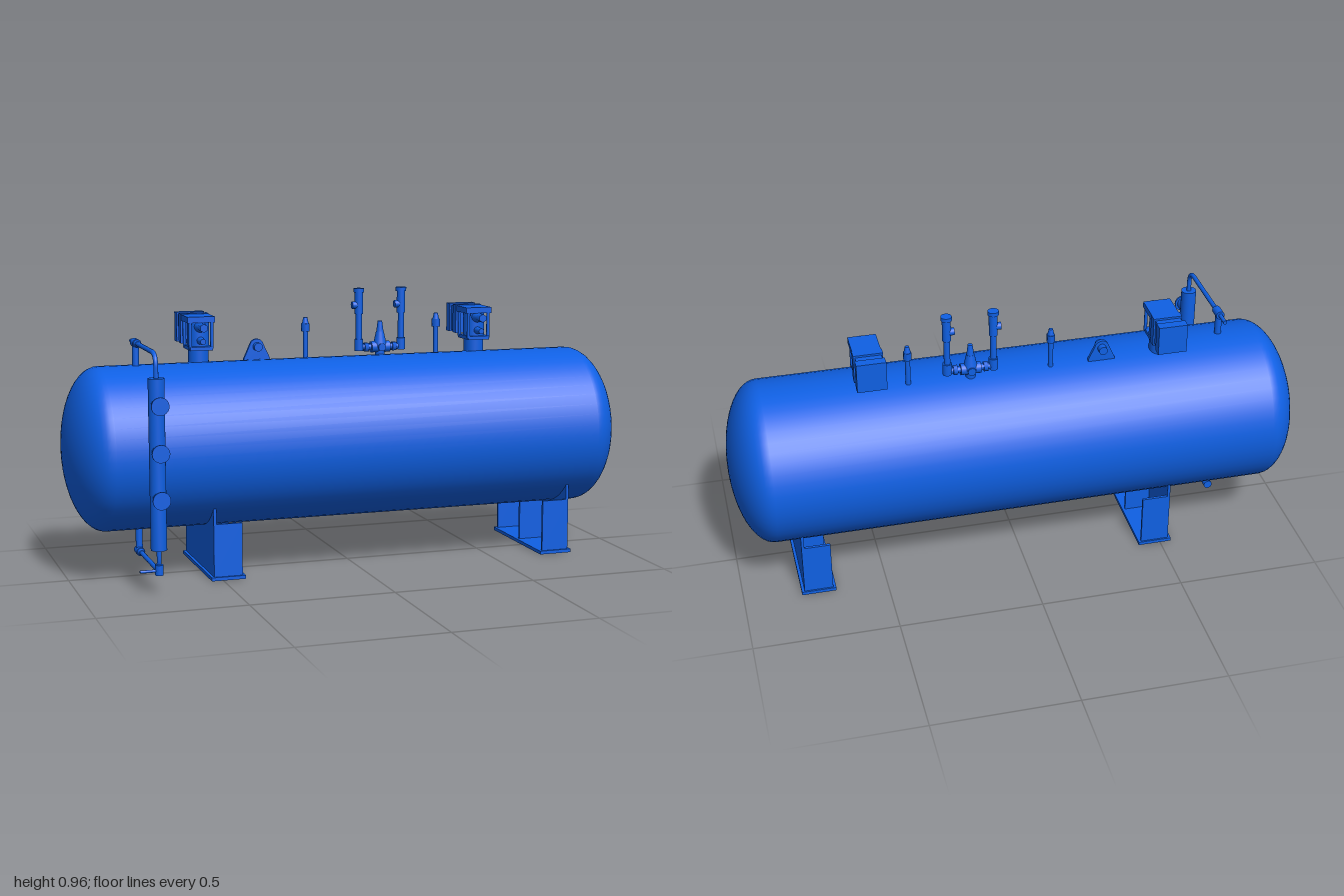
import * as THREE from 'three';

const material = new THREE.MeshStandardMaterial({ color: 0x0f60e4 });
const TANK = { y: 0.44, z: -0.048, r: 0.2825 };
const ROW_Z = -0.108; // line of fittings along the top

function add(parent, name, geometry, x = 0, y = 0, z = 0) {
  const mesh = new THREE.Mesh(geometry, material);
  mesh.name = name;
  mesh.position.set(x, y, z);
  parent.add(mesh);
  return mesh;
}

function box(parent, name, [x0, x1], [y0, y1], [z0, z1]) {
  return add(parent, name, new THREE.BoxGeometry(x1 - x0, y1 - y0, z1 - z0),
    (x0 + x1) / 2, (y0 + y1) / 2, (z0 + z1) / 2);
}

// Straight round bar between two points, optionally tapered
function rod(parent, name, a, b, r0, r1 = r0, sides = 20) {
  const start = new THREE.Vector3(...a), end = new THREE.Vector3(...b);
  const dir = end.clone().sub(start);
  const mesh = add(parent, name, new THREE.CylinderGeometry(r1, r0, dir.length(), sides));
  mesh.position.copy(start).add(end).multiplyScalar(0.5);
  mesh.quaternion.setFromUnitVectors(new THREE.Vector3(0, 1, 0), dir.normalize());
  return mesh;
}

function group(parent, name, x = 0, y = 0, z = 0) {
  const g = new THREE.Group();
  g.name = name;
  g.position.set(x, y, z);
  parent.add(g);
  return g;
}

// Horizontal pressure vessel with elliptical heads
function buildTank(root) {
  const head = 0.13, steps = 14, profile = [];
  for (const side of [-1, 1]) {
    for (let i = 0; i <= steps; i++) {
      const t = (side < 0 ? i : steps - i) / steps * Math.PI / 2;
      profile.push(new THREE.Vector2(TANK.r * Math.sin(t), side * (1 - head + head * Math.cos(t))));
    }
  }
  const tank = add(root, 'tank', new THREE.LatheGeometry(profile, 48), 0, TANK.y, TANK.z);
  tank.rotation.z = -Math.PI / 2;
}

// Support with an outer web and three ribs facing inwards
function buildSaddle(root, x, outward) {
  const g = group(root, 'saddle', x);
  const w = 0.05;
  box(g, 'basePlate', [-0.06, 0.06], [0, 0.012], [-0.258, 0.167]);
  box(g, 'web', outward > 0 ? [w - 0.01, w] : [-w, -w + 0.01], [0.012, 0.25], [-0.252, 0.16]);
  for (const z of [-0.247, -0.046, 0.155]) {
    box(g, 'rib', [-w, w], [0.012, 0.195], [z - 0.005, z + 0.005]);
  }
}

// Column with side nozzles, joined to the tank by two bent pipes
function buildLevelGauge(root) {
  const g = group(root, 'levelGauge', -0.745);
  const z = 0.275;
  rod(g, 'column', [0, 0.15, z], [0, 0.72, z], 0.027, 0.027, 32);
  for (const y of [0.325, 0.48, 0.635]) {
    rod(g, 'nozzle', [0, y, z], [0, y, 0.328], 0.022);
    rod(g, 'nozzleFlange', [0, y, 0.328], [0, y, 0.335], 0.03);
  }
  for (const [start, end, tankY] of [[0.72, 0.8, 0.71], [0.15, 0.077, 0.17]]) {
    const bend = end + Math.sign(start - end) * 0.045;
    const path = new THREE.CurvePath();
    const p = (y, pz) => new THREE.Vector3(0, y, pz);
    path.add(new THREE.LineCurve3(p(start, z), p(bend, z)));
    path.add(new THREE.QuadraticBezierCurve3(p(bend, z), p(end, z), p(end, z - 0.05)));
    path.add(new THREE.LineCurve3(p(end, z - 0.05), p(end, -0.01)));
    add(g, 'pipe', new THREE.TubeGeometry(path, 60, 0.008, 12));
    rod(g, 'pipeUnion', [0, end, 0], [0, end, -0.02], 0.009, 0.014);
    rod(g, 'valveBody', [0, end, -0.015], [0, end, -0.06], 0.015);
    rod(g, 'valveStub', [0, end, -0.042], [0, tankY, -0.042], 0.012);
  }
  rod(g, 'upperValveTail', [0, 0.8, -0.06], [0, 0.8, -0.11], 0.007);
  rod(g, 'lowerValveHandle', [0, 0.08, z], [-0.065, 0.08, z], 0.005);
  rod(g, 'drainCock', [0, 0.065, z], [0, 0.1, z], 0.014);
}

// Flanged valve with a boxed actuator at the back
function buildActuatedValve(root, x) {
  const g = group(root, 'actuatedValve', x);
  const z = -0.088;
  rod(g, 'neck', [0, 0.7, z], [0, 0.77, z], 0.036, 0.036, 28);
  rod(g, 'neckPlug', [0, 0.745, z], [0, 0.745, -0.134], 0.015);
  box(g, 'lowerFlange', [-0.04, 0.04], [0.764, 0.777], [-0.14, -0.036]);
  rod(g, 'body', [0, 0.777, z], [0, 0.862, z], 0.038, 0.038, 28);
  box(g, 'upperFlange', [-0.048, 0.048], [0.86, 0.881], [-0.137, -0.038]);
  for (const sx of [-1, 1]) for (const pz of [-0.044, -0.13]) {
    rod(g, 'stayBolt', [sx * 0.038, 0.77, pz], [sx * 0.038, 0.865, pz], 0.006, 0.006, 10);
  }
  rod(g, 'outletPort', [0, 0.845, -0.06], [0, 0.845, -0.028], 0.022, 0.013);
  rod(g, 'outletNut', [0, 0.845, -0.03], [0, 0.845, 0], 0.015, 0.015, 6);
  rod(g, 'lowerPort', [0, 0.797, -0.06], [0, 0.797, -0.012], 0.014, 0.01);
  box(g, 'actuatorFront', [-0.05, 0.05], [0.78, 0.883], [-0.167, -0.137]);
  box(g, 'actuatorWaist', [-0.044, 0.044], [0.787, 0.876], [-0.2, -0.165]);
  box(g, 'actuatorBack', [-0.05, 0.05], [0.78, 0.883], [-0.23, -0.197]);
}

// Triangular lug with a round boss
function buildLiftingLug(root) {
  const g = group(root, 'liftingLug', -0.3, 0, ROW_Z);
  const s = new THREE.Shape();
  s.moveTo(-0.047, 0.705);
  s.lineTo(0.047, 0.705);
  s.lineTo(0.047, 0.722);
  s.lineTo(0.022, 0.775);
  s.absarc(0, 0.765, 0.025, 0.4, Math.PI - 0.4, false);
  s.lineTo(-0.047, 0.722);
  const plate = new THREE.ExtrudeGeometry(s, { depth: 0.012, bevelEnabled: false, curveSegments: 12 });
  add(g, 'lugPlate', plate, 0, 0, -0.006);
  rod(g, 'lugBoss', [0, 0.763, -0.028], [0, 0.763, 0.028], 0.015);
}

// Slim upright vent valve
function buildVent(root, x) {
  const g = group(root, 'vent', x, 0, ROW_Z);
  rod(g, 'ventStem', [0, 0.7, 0], [0, 0.815, 0], 0.009);
  rod(g, 'ventCollar', [0, 0.81, 0], [0, 0.838, 0], 0.015, 0.015, 6);
  rod(g, 'ventTip', [0, 0.838, 0], [0, 0.86, 0], 0.012, 0.007);
}

// Changeover manifold carrying two relief risers
function buildReliefManifold(root) {
  const g = group(root, 'reliefManifold', 0.16, 0, ROW_Z);
  const y = 0.745;
  rod(g, 'manifoldStub', [0, 0.7, 0], [0, y, 0], 0.017);
  rod(g, 'crossPipe', [-0.09, y, 0], [0.09, y, 0], 0.011);
  rod(g, 'changeoverBody', [-0.035, y, 0], [0.035, y, 0], 0.02);
  rod(g, 'bonnet', [0, y, 0], [0, 0.8, 0], 0.026, 0.014);
  rod(g, 'spindle', [0, 0.8, 0], [0, 0.838, 0], 0.013, 0.008);
  rod(g, 'sideBoss', [0, y, -0.028], [0, y, 0.028], 0.014);
  for (const sx of [-1, 1]) {
    const x = sx * 0.08;
    rod(g, 'union', [sx * 0.045, y, 0], [sx * 0.06, y, 0], 0.017, 0.017, 6);
    rod(g, 'riserElbow', [x, y - 0.012, 0], [x, y + 0.03, 0], 0.016);
    rod(g, 'riser', [x, y, 0], [x, 0.88, 0], 0.011);
    rod(g, 'reliefBody', [x, 0.865, 0], [x, 0.945, 0], 0.015);
    rod(g, 'reliefCap', [x, 0.943, 0], [x, 0.957, 0], 0.019);
    rod(g, 'reliefOutlet', [x, 0.897, 0], [x - 0.026, 0.897, 0], 0.013);
  }
}

export function createModel() {
  const root = new THREE.Group();
  root.name = 'pressureTank';
  buildTank(root);
  buildSaddle(root, -0.48, -1);
  buildSaddle(root, 0.74, 1);
  buildLevelGauge(root);
  for (const x of [-0.515, 0.515]) buildActuatedValve(root, x);
  buildLiftingLug(root);
  for (const x of [-0.12, 0.375]) buildVent(root, x);
  buildReliefManifold(root);
  return root;
}
